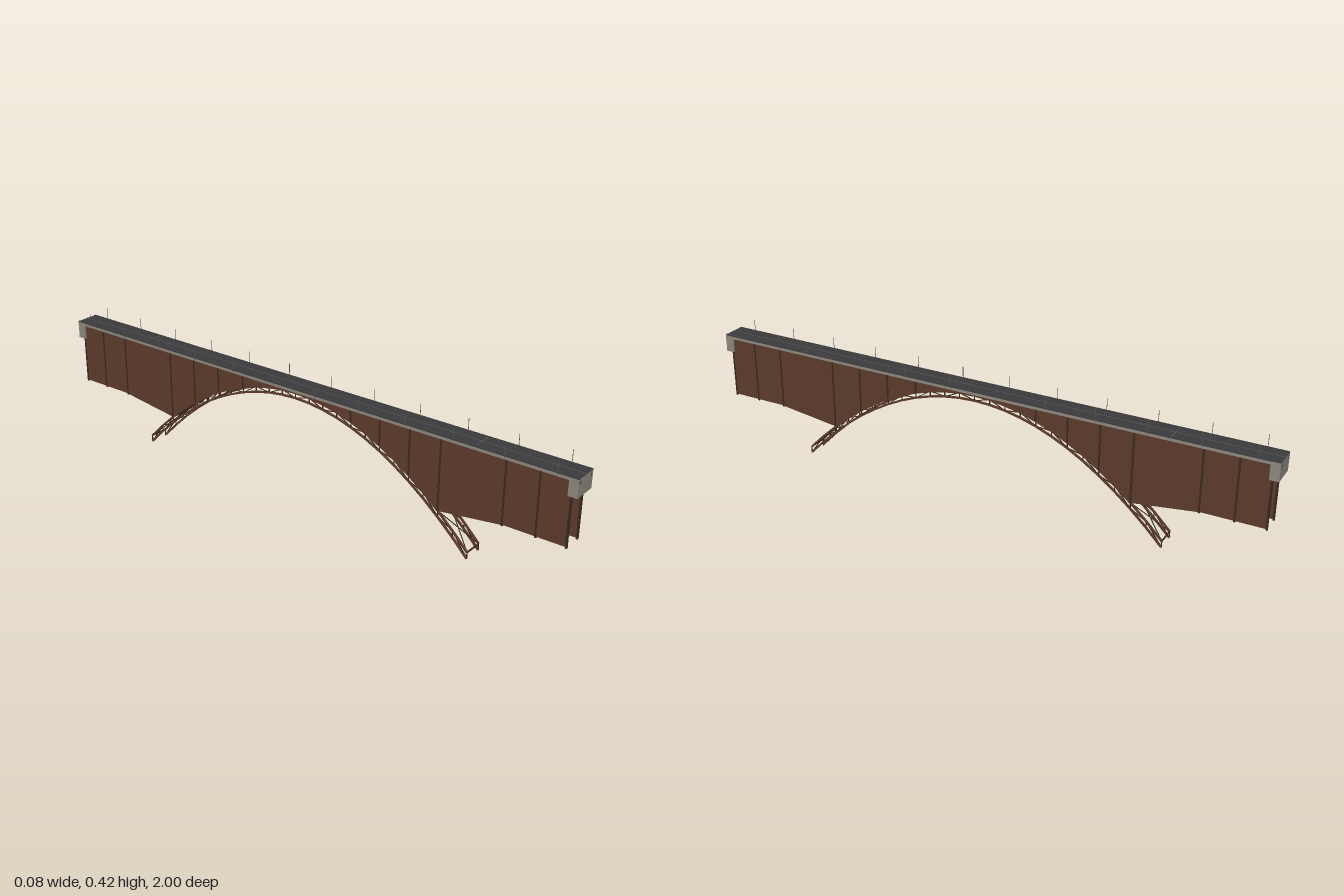
import * as THREE from 'three';
import { mergeGeometries } from 'three/addons/utils/BufferGeometryUtils.js';

const mat = (color) => new THREE.MeshStandardMaterial({ color, flatShading: true });
const steel = mat(0x5e3c2c), darkSteel = mat(0x3a2a20), concrete = mat(0x8f8a80);
const asphalt = mat(0x3c3c3e), paint = mat(0x555557), metal = mat(0x55595c);

const RIB_X = 0.033, PANEL = 0.11, HALF = 0.66;
const upperY = (z) => 0.373 - 0.344 * (z / HALF) ** 2;
const lowerY = (z) => 0.355 - 0.352 * (z / 0.664) ** 2;
const V = (x, y, z) => new THREE.Vector3(x, y, z);

// Box centred at a point
function box(w, h, d, x, y, z) {
  return new THREE.BoxGeometry(w, h, d).translate(x, y, z);
}

// Straight rectangular bar between two points
function bar(a, b, w, h = w) {
  const o = new THREE.Object3D();
  o.position.copy(a).add(b).multiplyScalar(0.5);
  if (Math.abs(a.x - b.x) + Math.abs(a.z - b.z) < 1e-6) o.up.set(0, 0, 1);
  o.lookAt(b);
  o.updateMatrix();
  return new THREE.BoxGeometry(w, h, a.distanceTo(b)).applyMatrix4(o.matrix);
}

export function createModel() {
  const group = new THREE.Group();
  const add = (name, material, parts) => {
    const mesh = new THREE.Mesh(mergeGeometries(parts), material);
    mesh.name = name;
    group.add(mesh);
  };

  // Deck slab, road surface, curbs and centre line
  add('deckSlab', concrete, [box(0.082, 0.01, 2, 0, 0.382, 0)]);
  add('roadSurface', asphalt, [box(0.08, 0.002, 2, 0, 0.388, 0)]);
  add('curbs', asphalt, [-1, 1].map((s) => box(0.008, 0.003, 2, s * 0.038, 0.3885, 0)));
  add('centreLine', paint, [box(0.0012, 0.002, 2, 0, 0.39, 0)]);
  add('expansionJoints', paint, [-1, 1].map((s) => box(0.078, 0.0005, 0.003, 0, 0.3892, s * 0.667)));

  // Concrete abutments at both ends
  add('abutments', concrete, [-1, 1].map((s) => box(0.084, 0.06, 0.03, 0, 0.358, s * 0.985)));

  // Arch: two ribs, each with two chords and a zigzag web
  const chords = [], web = [], steps = 24, dz = (2 * HALF) / steps;
  for (const s of [-1, 1]) {
    const x = s * RIB_X;
    for (let i = 0; i <= steps; i++) {
      const z = -HALF + i * dz, n = z + dz;
      web.push(bar(V(x, lowerY(z), z), V(x, upperY(z), z), 0.003));
      if (i === steps) continue;
      chords.push(bar(V(x, upperY(z), z), V(x, upperY(n), n), 0.006, 0.006));
      chords.push(bar(V(x, lowerY(z), z), V(x, lowerY(n), n), 0.006, 0.006));
      web.push(i % 2
        ? bar(V(x, upperY(z), z), V(x, lowerY(n), n), 0.0025)
        : bar(V(x, lowerY(z), z), V(x, upperY(n), n), 0.0025));
    }
  }
  add('archChords', steel, chords);
  add('archWeb', darkSteel, web);

  // Cross struts and X bracing between the ribs
  const bracing = [];
  for (let i = 0; i <= 12; i++) {
    const z = -HALF + i * PANEL, n = z + PANEL;
    bracing.push(bar(V(-RIB_X, upperY(z), z), V(RIB_X, upperY(z), z), 0.004));
    if (i === 12) continue;
    for (const s of [-1, 1])
      bracing.push(bar(V(-s * RIB_X, upperY(z), z), V(s * RIB_X, upperY(n), n), 0.0025));
  }
  add('archBracing', darkSteel, bracing);

  // Side walls filling the space between arch and deck
  const wall = new THREE.Shape();
  wall.moveTo(-0.98, 0.38);
  wall.lineTo(-0.98, 0.164);
  wall.lineTo(-0.78, 0.164);
  for (let i = 0; i <= 20; i++) {
    const z = -0.55 + i * 0.055;
    wall.lineTo(z, upperY(z));
  }
  wall.lineTo(0.78, 0.164);
  wall.lineTo(0.98, 0.164);
  wall.lineTo(0.98, 0.38);
  add('sideWalls', steel, [-1, 1].map((s) =>
    new THREE.ExtrudeGeometry(wall, { depth: 0.004, bevelEnabled: false })
      .translate(0, 0, -0.002).rotateY(-Math.PI / 2).translate(s * RIB_X, 0, 0)));

  // Top girders under the deck, their ends showing through the abutments
  add('topGirders', steel, [-1, 1].map((s) => box(0.004, 0.01, 2.001, s * RIB_X, 0.376, 0)));

  // Posts along the walls
  const posts = [];
  for (const s of [-1, 1])
    for (const e of [-1, 1])
      for (const z of [0.978, 0.88, 0.77, 0.55, 0.44, 0.33, 0.22]) {
        const foot = z > 0.6 ? 0.16 : upperY(z);
        posts.push(box(0.0065, 0.378 - foot, 0.006, s * RIB_X, (0.378 + foot) / 2, e * z));
      }
  add('wallPosts', darkSteel, posts);

  // Lamp posts on both edges
  const lamps = [];
  for (let i = 0; i < 12; i++)
    for (const s of [-1, 1])
      lamps.push(box(0.001, 0.046, 0.0015, s * 0.0415, 0.405, -0.935 + i * 0.17));
  add('lampPosts', metal, lamps);

  return group;
}
